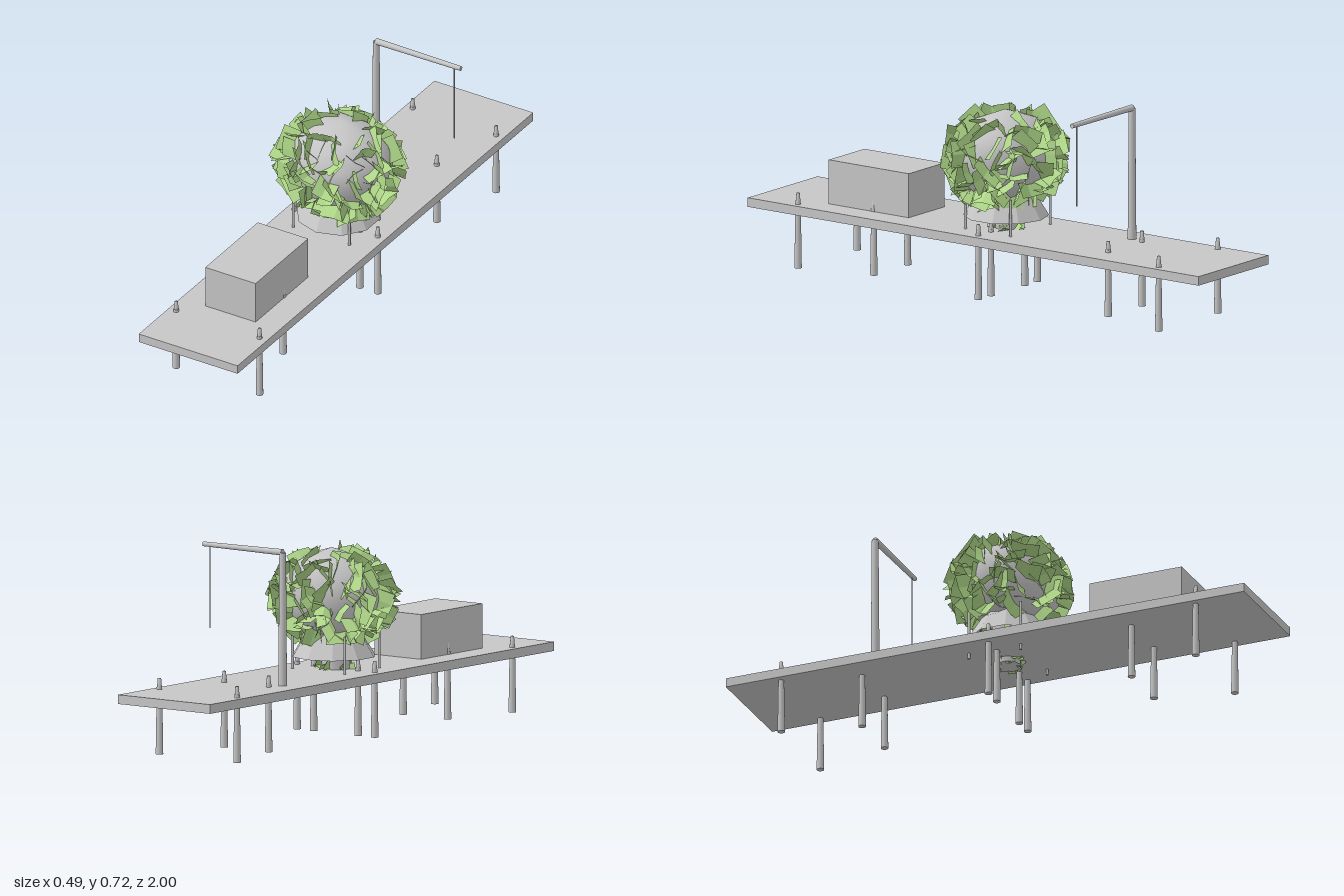
import * as THREE from 'three';
import { mergeGeometries, mergeVertices } from 'three/addons/utils/BufferGeometryUtils.js';

const CX = -0.014; // centre line of the deck

const grey = new THREE.MeshStandardMaterial({ color: 0xc6c6c6 });
grey.name = 'grey';
grey.side = THREE.DoubleSide;
const green = new THREE.MeshStandardMaterial({ color: 0xaed688 });
green.name = 'leaf green';
green.side = THREE.DoubleSide;

// small seeded random generator
function seeded(seed) {
  let s = seed;
  return () => {
    s = (s * 16807) % 2147483647;
    return s / 2147483647;
  };
}

function add(parent, name, geometry, material, x = 0, y = 0, z = 0) {
  const mesh = new THREE.Mesh(geometry, material);
  mesh.name = name;
  mesh.position.set(x, y, z);
  parent.add(mesh);
  return mesh;
}

// slightly bent rectangular leaf, root near its local origin, growing along +y
function leafGeometry(width, length, bend) {
  const g = new THREE.PlaneGeometry(width, length, 2, 1);
  const p = g.attributes.position;
  for (let i = 0; i < p.count; i++) {
    const u = p.getX(i) / (width / 2);
    p.setZ(i, bend * u * u);
  }
  g.translate(0, length * 0.2, 0);
  return g.toNonIndexed();
}

// leaves standing out of an ellipsoid, each roughly in a plane through its radius
function foliage(count, centre, radii, size, minY, maxY, seed) {
  const rnd = seeded(seed);
  const leaves = [];
  for (let i = 0; i < count; i++) {
    const h = minY + (maxY - minY) * ((i + 0.5) / count);
    const a = i * 2.39996 + rnd() * 0.5;
    const r = Math.sqrt(1 - h * h);
    const dir = new THREE.Vector3(r * Math.cos(a), h, r * Math.sin(a));
    const g = leafGeometry(size * (0.7 + rnd() * 0.6), size * (0.6 + rnd() * 0.4), size * (rnd() - 0.5) * 0.3);
    g.rotateX((rnd() - 0.5) * 1.3);
    g.rotateZ((rnd() - 0.5) * 0.7);
    g.rotateY(rnd() * Math.PI * 2);
    g.applyQuaternion(new THREE.Quaternion().setFromUnitVectors(new THREE.Vector3(0, 1, 0), dir));
    g.translate(centre[0] + dir.x * radii[0], centre[1] + dir.y * radii[1], centre[2] + dir.z * radii[2]);
    leaves.push(g);
  }
  const merged = mergeGeometries(leaves);
  merged.computeVertexNormals();
  return merged;
}

// leg below the deck with a small stepped pin above it
function makeLeg(x, z) {
  const profile = [[0, 0], [0.0135, 0], [0.0135, 0.02], [0.0095, 0.243], [0.0085, 0.243], [0.0062, 0.272], [0, 0.272]];
  const g = new THREE.Group();
  g.name = 'leg';
  g.position.set(x, 0, z);
  add(g, 'legShaft', new THREE.CylinderGeometry(0.0095, 0.0135, 0.243, 14), grey, 0, 0.1215, 0);
  const pin = profile.slice(4).map(([r, y]) => new THREE.Vector2(r, y));
  add(g, 'legPin', new THREE.LatheGeometry(pin, 12), grey);
  return g;
}

// rounded lump with an uneven surface
function lumpGeometry() {
  const raw = new THREE.IcosahedronGeometry(1, 1);
  raw.deleteAttribute('normal');
  raw.deleteAttribute('uv');
  const g = mergeVertices(raw, 1e-4);
  const rnd = seeded(77);
  const p = g.attributes.position;
  for (let i = 0; i < p.count; i++) {
    const k = 0.97 + rnd() * 0.07;
    p.setXYZ(i, p.getX(i) * k * 0.197, p.getY(i) * k * 0.168, p.getZ(i) * k * 0.175);
  }
  g.computeVertexNormals();
  return g;
}

export function createModel() {
  const model = new THREE.Group();
  model.name = 'pier';

  // deck and crate
  add(model, 'deck', new THREE.BoxGeometry(0.41, 0.033, 2), grey, -0.0145, 0.2155, 0);
  add(model, 'crate', new THREE.BoxGeometry(0.209, 0.16, 0.355), grey, -0.0135, 0.312, 0.538);

  // legs: wide rows at the ends, narrow rows further in, both in the middle
  const wide = 0.173, narrow = 0.099;
  const rows = [[0.8, wide], [0.52, narrow], [0, wide], [0, narrow], [-0.52, narrow], [-0.8, wide]];
  for (const [z, half] of rows) {
    for (const side of [-1, 1]) model.add(makeLeg(CX + side * half, z));
  }

  // hoist: post, arm and hanging line
  const hoist = new THREE.Group();
  hoist.name = 'hoist';
  hoist.position.z = -0.462;
  model.add(hoist);
  add(hoist, 'hoistPost', new THREE.CylinderGeometry(0.012, 0.0155, 0.475, 16), grey, -0.131, 0.4695, 0);
  const arm = add(hoist, 'hoistArm', new THREE.CylinderGeometry(0.0085, 0.0115, 0.352, 16), grey, 0.045, 0.708, 0);
  arm.rotation.z = -Math.PI / 2;
  add(hoist, 'hoistLine', new THREE.CylinderGeometry(0.002, 0.002, 0.295, 8), grey, 0.193, 0.5575, 0);

  // planter: core through the deck, flared skirt and four rods
  add(model, 'planterCore', new THREE.CylinderGeometry(0.06, 0.047, 0.18, 10), grey, CX, 0.27, 0);
  const skirt = new THREE.CylinderGeometry(0.085, 0.152, 0.11, 10, 1, true).toNonIndexed();
  skirt.computeVertexNormals();
  add(model, 'skirt', skirt, grey, -0.004, 0.332, 0);
  for (const sx of [-1, 1]) {
    for (const sz of [-1, 1]) {
      add(model, 'rod', new THREE.CylinderGeometry(0.005, 0.005, 0.187, 10), grey, CX + sx * 0.1165, 0.2715, sz * 0.1);
    }
  }

  // bush: uneven lump covered in leaves, with a small tuft under the deck
  add(model, 'bushCore', lumpGeometry(), grey, 0.003, 0.493, 0);
  add(model, 'bushLeaves', foliage(170, [0, 0.487, 0], [0.19, 0.15, 0.172], 0.085, -0.9, 0.9, 4321), green);
  add(model, 'tuftLeaves', foliage(36, [CX + 0.003, 0.225, 0], [0.055, 0.04, 0.055], 0.04, -0.85, 0.85, 99), green);

  return model;
}
